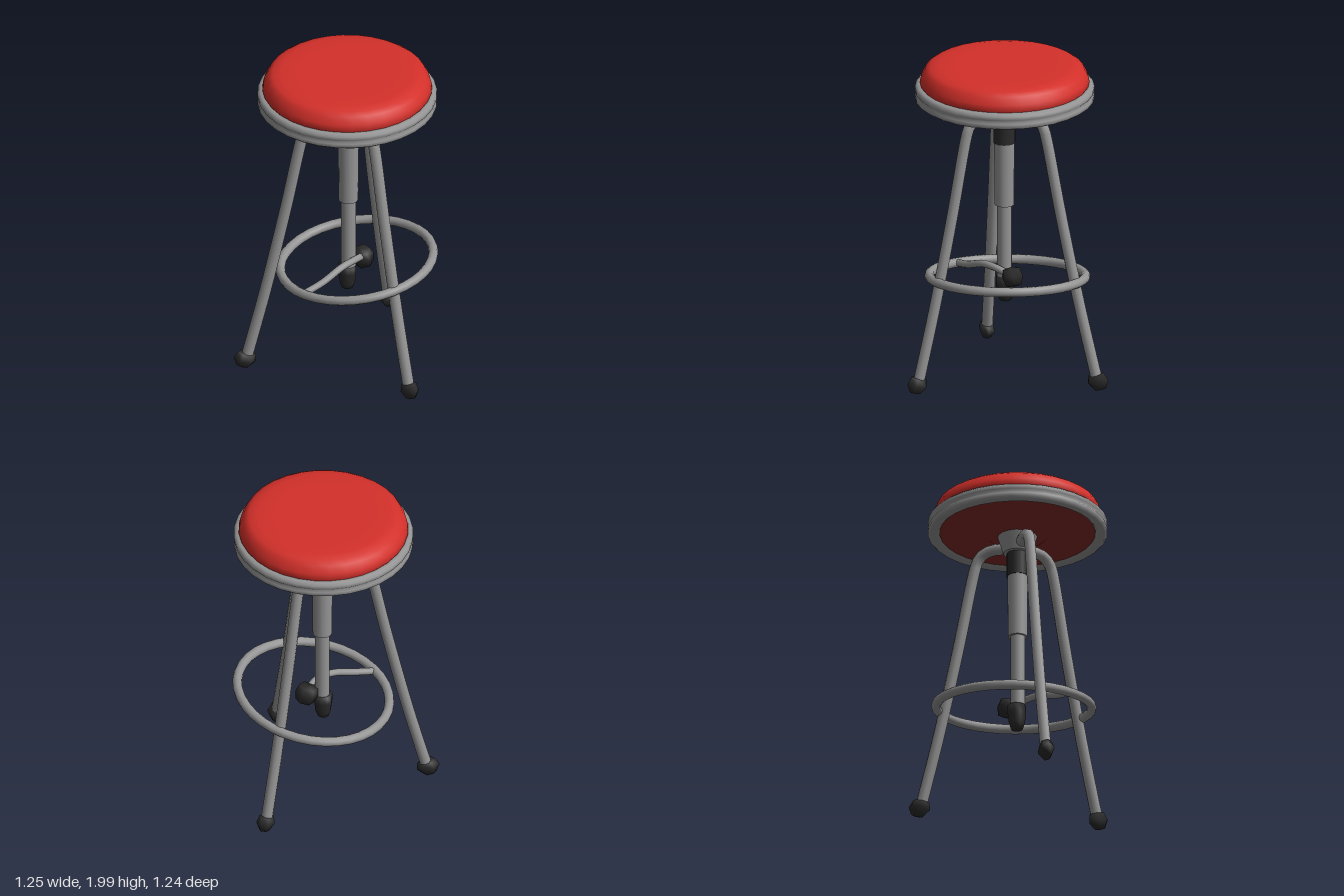
import * as THREE from 'three';

const CX = 0.005, CZ = -0.08; // vertical axis of the stool

export function createModel() {
  const group = new THREE.Group();
  const mat = (name, color) => Object.assign(new THREE.MeshStandardMaterial({ color }), { name });
  const red = mat('red vinyl', 0xd4302a);
  const darkRed = mat('dark red underside', 0x842c2a);
  const steel = mat('grey steel', 0x959595);
  const rubber = mat('black rubber', 0x2a2a2a);

  const add = (name, geometry, material, parent = group) => {
    const mesh = new THREE.Mesh(geometry, material);
    mesh.name = name;
    parent.add(mesh);
    return mesh;
  };
  const v = (x, y, z) => new THREE.Vector3(x, y, z);
  const lathe = (points, sides) =>
    new THREE.LatheGeometry(points.map(([r, y]) => new THREE.Vector2(r, y)), sides);
  const tube = (points, radius, steps) =>
    new THREE.TubeGeometry(new THREE.CatmullRomCurve3(points, false, 'centripetal'), steps, radius, 10);

  // Everything that turns about the stool's axis
  const axis = new THREE.Group();
  axis.name = 'stoolBody';
  axis.position.set(CX, 0, CZ);
  group.add(axis);

  // Seat: padded cushion over a slightly domed base
  add('cushion', lathe([
    [0.49, 1.85], [0.512, 1.885], [0.504, 1.92], [0.48, 1.965], [0.45, 1.985],
    [0.4, 1.996], [0.3, 2], [0, 2],
  ], 32), red, axis);
  add('seatUnderside', lathe([[0, 1.757], [0.17, 1.76], [0.2, 1.785], [0.48, 1.79]], 32), darkRed, axis);

  // Double metal band around the seat
  add('seatRim', lathe([
    [0.47, 1.79], [0.485, 1.776], [0.527, 1.775], [0.541, 1.787], [0.541, 1.81], [0.53, 1.823],
    [0.541, 1.836], [0.541, 1.858], [0.525, 1.872], [0.5, 1.874], [0.47, 1.86], [0.47, 1.79],
  ], 32), steel, axis);

  // Hub joining legs to seat
  add('hub', new THREE.CylinderGeometry(0.12, 0.085, 0.11, 16).translate(0, 1.705, 0), steel, axis);

  // Telescoping centre column
  const column = (name, rTop, rBottom, y0, y1, material) =>
    add(name, new THREE.CylinderGeometry(rTop, rBottom, y1 - y0, 14).translate(0.005, (y0 + y1) / 2, 0.005), material, axis);
  column('columnCollar', 0.067, 0.067, 1.5, 1.66, rubber);
  column('columnSleeve', 0.063, 0.059, 1.1, 1.5, steel);
  column('columnRod', 0.045, 0.045, 0.62, 1.1, steel);
  const tip = add('columnTip', lathe([
    [0, 0.482], [0.035, 0.485], [0.047, 0.52], [0.056, 0.59], [0.056, 0.64], [0, 0.645],
  ], 10), rubber, axis);
  tip.position.set(0.003, 0, -0.003);

  // Three bent legs with rubber feet
  const legProfile = [[0.05, 1.69], [0.15, 1.7], [0.215, 1.685], [0.258, 1.64], [0.28, 1.57],
    [0.375, 1.11], [0.475, 0.66], [0.525, 0.45], [0.62, 0.08]];
  const footDirection = v(0, 1, -0.28).normalize();
  for (const [name, angle] of [['frontLeg', 0.8], ['leftLeg', 119], ['rightLeg', -114.5]]) {
    const leg = new THREE.Group();
    leg.name = name;
    leg.rotation.y = -THREE.MathUtils.degToRad(name === 'frontLeg' ? angle : -angle);
    axis.add(leg);
    add('legTube', tube(legProfile.map(([r, y]) => v(0, y, r)), 0.035, 40), steel, leg);
    const foot = add('rubberFoot', lathe([
      [0, -0.052], [0.035, -0.045], [0.062, 0], [0.05, 0.045], [0, 0.05],
    ], 6).scale(0.8, 1, 1.15), rubber, leg);
    foot.position.set(0, 0.06, 0.632);
    foot.quaternion.setFromUnitVectors(v(0, 1, 0), footDirection);
  }

  // Tilted footrest ring
  const footrest = add('footrestRing',
    new THREE.TorusGeometry(0.462, 0.029, 10, 36).rotateX(Math.PI / 2).scale(0.995, 1, 1.03), steel);
  footrest.position.set(0.063, 0.66, -0.06);
  footrest.quaternion.setFromUnitVectors(v(0, 1, 0), v(-0.11, 1, -0.09).normalize());

  // Side arm from the ring past the column to a rubber knob
  add('leverArm', tube([
    v(-0.39, 0.615, 0.0), v(-0.25, 0.65, 0.01), v(-0.1, 0.7, 0.005), v(0.01, 0.705, -0.01), v(0.1, 0.68, -0.05),
  ], 0.022, 20), steel);
  const knob = add('leverKnob', lathe([
    [0, -0.065], [0.055, -0.055], [0.07, 0], [0.058, 0.045], [0, 0.055],
  ], 6), rubber);
  knob.position.set(0.11, 0.67, -0.065);
  knob.rotation.z = 0.3;

  return group;
}
